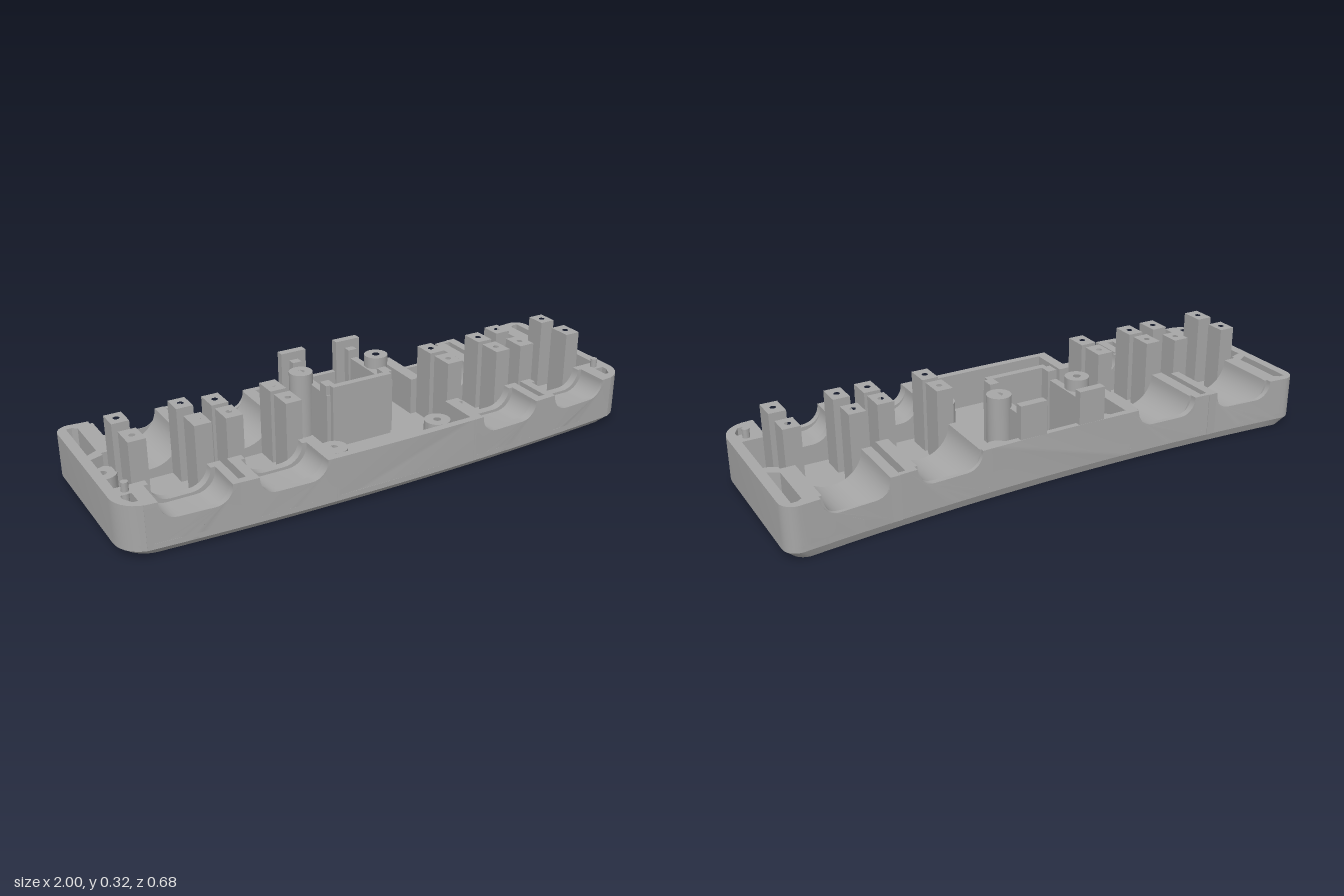
import * as THREE from 'three';
import { toCreasedNormals } from 'three/addons/utils/BufferGeometryUtils.js';

const RIM = 0.19, FLOOR = 0.05;
const frontZ = x => 0.342 - 0.042 * x * x;
const backZ = x => -0.293 - 0.053 * x * x;

// Outline of the tray in plan, as [x, z] points
function outline() {
  const half = [], n = 12, rf = 0.1, rb = 0.05;
  for (let i = 0; i <= n; i++) { const x = (1 - rf) * i / n; half.push([x, frontZ(x)]); }
  for (let i = 1; i <= 8; i++) {
    const a = Math.PI / 2 * i / 8;
    half.push([1 - rf + rf * Math.sin(a), frontZ(1 - rf) - rf + rf * Math.cos(a)]);
  }
  for (let i = 0; i <= 6; i++) {
    const a = Math.PI / 2 * i / 6;
    half.push([1 - rb + rb * Math.cos(a), backZ(1 - rb) + rb - rb * Math.sin(a)]);
  }
  for (let i = n - 1; i >= 0; i--) { const x = (1 - rb) * i / n; half.push([x, backZ(x)]); }
  const mirror = half.slice(1, -1).reverse().map(([x, z]) => [-x, z]);
  return [...half, ...mirror];
}

const rect = (x0, x1, z0, z1) => [[x0, z0], [x1, z0], [x1, z1], [x0, z1]];
const circle = (x, z, r, n = 24) => Array.from({ length: n }, (_, i) => {
  const a = 2 * Math.PI * i / n;
  return [x + r * Math.cos(a), z + r * Math.sin(a)];
});
const toPoints = pts => pts.map(([x, z]) => new THREE.Vector2(x, -z));

// Upright solid from a plan outline with holes
function plan(pts, holes, y0, y1) {
  const shape = new THREE.Shape(toPoints(pts));
  shape.holes = holes.map(h => new THREE.Path(toPoints(h)));
  const g = new THREE.ExtrudeGeometry(shape, { depth: y1 - y0, bevelEnabled: false });
  return g.rotateX(-Math.PI / 2).translate(0, y0, 0);
}

// Wall piece from x0 to x1 between two depth rules, with an optional U notch in its top
function wall(x0, x1, zMin, zMax, notch) {
  const p = [], n = 12;
  for (let i = 0; i <= n; i++) p.push([x0 + (x1 - x0) * i / n, 0.03]);
  p.push([x1, RIM]);
  if (notch) {
    const { a, b, bottom, r } = notch, ry = Math.min(r, RIM - bottom);
    p.push([b, RIM]);
    for (let i = 0; i <= 8; i++) {
      const t = Math.PI / 2 * i / 8;
      p.push([b - r + r * Math.cos(t), bottom + ry - ry * Math.sin(t)]);
    }
    for (let i = 8; i >= 0; i--) {
      const t = Math.PI / 2 * i / 8;
      p.push([a + r - r * Math.cos(t), bottom + ry - ry * Math.sin(t)]);
    }
    p.push([a, RIM]);
  } else {
    for (let i = n - 1; i > 0; i--) p.push([x0 + (x1 - x0) * i / n, RIM]);
  }
  p.push([x0, RIM]);
  const clean = p.filter((q, i) => !i || Math.hypot(q[0] - p[i - 1][0], q[1] - p[i - 1][1]) > 1e-5);
  const shape = new THREE.Shape(clean.map(q => new THREE.Vector2(...q)));
  const g = new THREE.ExtrudeGeometry(shape, { depth: 1, bevelEnabled: false });
  const v = g.attributes.position;
  for (let i = 0; i < v.count; i++) {
    const x = v.getX(i);
    v.setZ(i, v.getZ(i) > 0.5 ? zMax(x) : zMin(x));
  }
  return g;
}

export function createModel() {
  const model = new THREE.Group();
  const grey = new THREE.MeshStandardMaterial({ color: 0xa6a6a6 });
  grey.name = 'grey plastic';
  const add = (name, g) => {
    const mesh = new THREE.Mesh(toCreasedNormals(g, 0.5), grey);
    mesh.name = name;
    model.add(mesh);
  };
  const box = (name, x0, x1, y0, y1, z0, z1) => add(name,
    new THREE.BoxGeometry(x1 - x0, y1 - y0, z1 - z0).translate((x0 + x1) / 2, (y0 + y1) / 2, (z0 + z1) / 2));
  const flat = z => () => z;

  // Base plate with chamfered edge and countersunk screw holes
  const screws = [-1, 1].flatMap(s => [[s * 0.94, -0.025], [s * 0.215, -0.225], [s * 0.21, 0.2]]);
  const base = plan(outline(), screws.map(([x, z]) => circle(x, z, 0.025)), 0, 0.03);
  const v = base.attributes.position;
  for (let i = 0; i < v.count; i++) {
    const x = v.getX(i), z = v.getZ(i);
    const edge = Math.abs(x) > 0.967 || z > 0.25 || z < -0.265;
    if (v.getY(i) < 0.01 && edge) { v.setX(i, x * 0.97); v.setZ(i, z > 0 ? z * 0.91 : z * 0.955); }
  }
  add('basePlate', base);
  add('floor', plan(outline(), screws.map(([x, z]) => circle(x, z, 0.014)), 0.03, FLOOR));

  // Screw bosses
  for (const [x, z] of screws)
    add('screwBoss', plan(circle(x, z, 0.047, 32), [circle(x, z, 0.014)], FLOOR - 0.005, 0.15));

  // Middle stretches of the front and back walls
  add('frontWall', wall(-0.28, 0.28, flat(0.313), frontZ));
  add('backWall', wall(-0.28, 0.28, backZ, flat(-0.272)));

  for (const s of [-1, 1]) {
    const span = (a, b) => s > 0 ? [a, b] : [-b, -a];

    // Side wall with pockets
    const side = outline().filter(p => p[0] > 0.93);
    const sideShape = [[0.92, frontZ(0.92)], ...side, [0.92, backZ(0.92)],
      [0.92, -0.07], [0.965, -0.055], [0.965, 0.16], [0.92, 0.16]];
    const pockets = [
      [[0.928, -0.3], [0.945, -0.312], [0.965, -0.312], [0.965, -0.09], [0.928, -0.11]],
      [[0.928, 0.27], [0.945, 0.27], [0.965, 0.235], [0.965, 0.215], [0.928, 0.215]],
    ];
    const flip = pts => pts.map(([x, z]) => [s * x, z]);
    add('sideWall', plan(flip(sideShape), pockets.map(flip), 0.03, RIM));
    add('locatingPin', plan(circle(s * 0.94, 0.19, 0.0125), [], FLOOR, 0.222));

    // Four cable bays: notched walls, cradles and clamp posts
    const bays = [
      { x: [0.61, 0.925], cut: [0.64, 0.88], rear: [0.645, 0.87], wallZ: -0.315, end: -0.085,
        posts: [[0.62, 0.68], [0.84, 0.9]], postZ: [-0.085, -0.01] },
      { x: [0.27, 0.585], cut: [0.31, 0.55], rear: [0.315, 0.54], wallZ: -0.285, end: -0.06,
        posts: [[0.295, 0.355], [0.51, 0.57]], postZ: [-0.06, 0.025] },
    ];
    for (const bay of bays) {
      const [x0, x1] = span(...bay.x), [a, b] = span(...bay.cut), [ra, rb] = span(...bay.rear);
      const notch = { a, b, bottom: 0.125, r: 0.06 };
      add('frontNotchWall', wall(x0, x1, flat(0.3), frontZ, notch));
      add('frontCradle', wall(x0, x1, flat(0.19), flat(0.3), { a, b, bottom: 0.11, r: 0.07 }));
      add('frontCradleCollar', wall(x0, x1, flat(0.16), flat(0.19),
        { a: a + 0.015, b: b - 0.015, bottom: 0.12, r: 0.07 }));
      add('rearNotchWall', wall(x0, x1, backZ, flat(bay.wallZ), notch));
      add('rearCradle', wall(x0, x1, flat(bay.wallZ), flat(bay.end),
        { a: ra, b: rb, bottom: 0.085, r: 0.112 }));
      for (const post of bay.posts) {
        const [p0, p1] = span(...post), c = (p0 + p1) / 2;
        for (const [z0, z1] of [bay.postZ, [0.05, 0.137]])
          add('clampPost', plan(rect(p0, p1, z0, z1), [circle(c, (z0 + z1) / 2, 0.011, 16)], FLOOR - 0.005, 0.32));
      }
    }

    // Thin outer wall closing the slot between the bays
    const [g0, g1] = span(0.58, 0.615);
    add('frontSlotWall', wall(g0, g1, flat(0.3), frontZ));
    add('rearSlotWall', wall(g0, g1, backZ, flat(-0.295)));

    // Centre holder: tall posts, rails, clips and rear tabs
    add('holderPost', plan(circle(s * 0.157, -0.13, 0.043, 32), [circle(s * 0.157, -0.13, 0.014)], FLOOR, 0.293));
    const part = (name, xs, y1, z0, z1) => { const [p, q] = span(...xs); box(name, p, q, FLOOR - 0.005, y1, z0, z1); };
    part('holderRail', [0.108, 0.135], 0.25, -0.262, 0.02);
    part('rearClip', [0.1, 0.135], 0.283, -0.26, -0.23);
    part('frontClip', [0.1, 0.135], 0.285, -0.03, 0.015);
    part('rearTab', [0.065, 0.165], 0.312, -0.293, -0.263);
  }

  // Front plate of the centre holder
  box('holderFrontPlate', -0.12, 0.12, FLOOR - 0.005, 0.285, 0.012, 0.037);
  return model;
}
